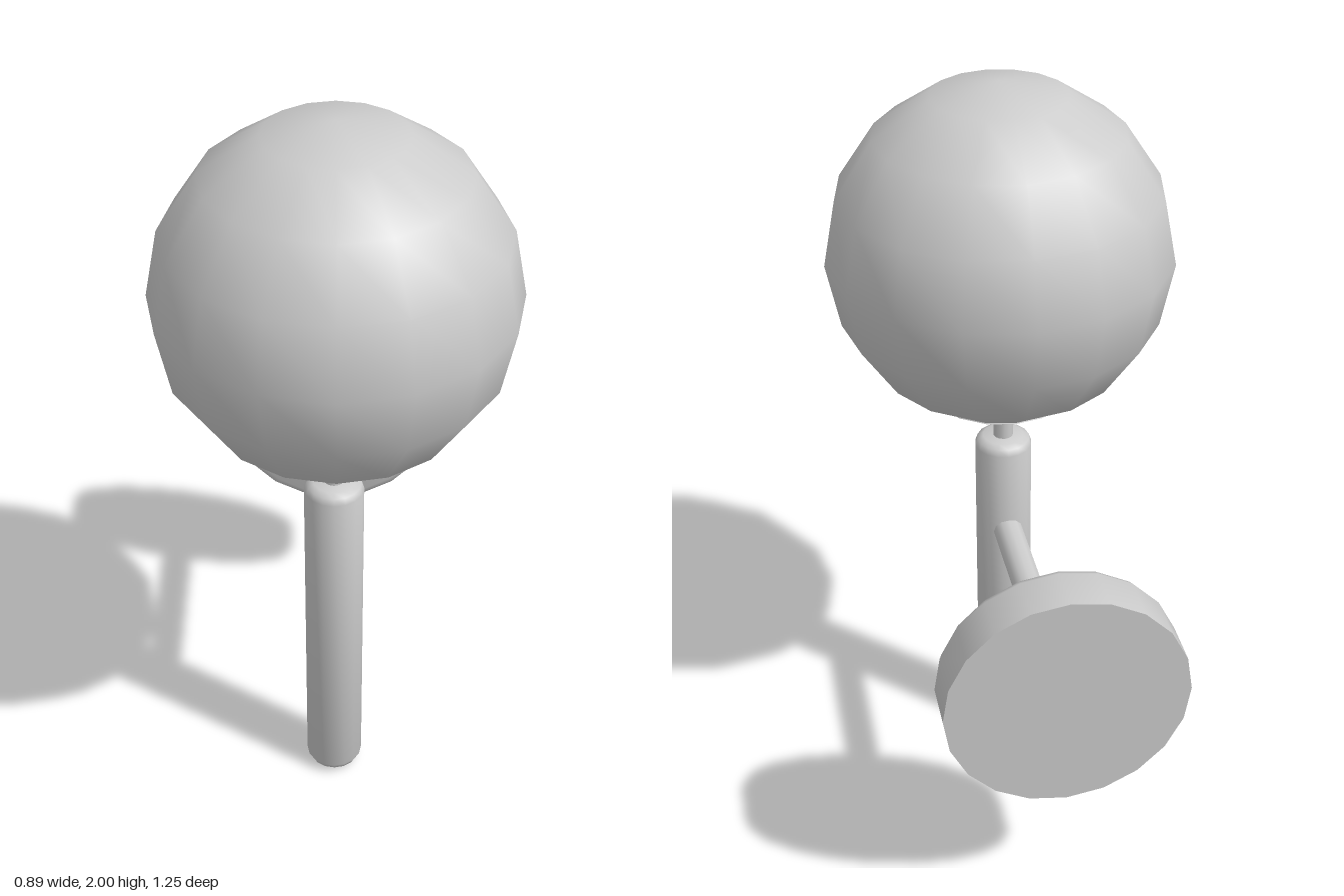
import * as THREE from 'three';
import { toCreasedNormals } from 'three/addons/utils/BufferGeometryUtils.js';

const X = -0.005; // the metalwork sits a touch off the globe's axis
const Z = 0.175;

export function createModel() {
  const model = new THREE.Group();
  model.name = 'wallLamp';
  const grey = new THREE.MeshStandardMaterial({ color: 0xcccccc });
  grey.name = 'light grey';

  const add = (name, geometry, x, y, z) => {
    const mesh = new THREE.Mesh(geometry, grey);
    mesh.name = name;
    mesh.position.set(x, y, z);
    model.add(mesh);
    return mesh;
  };
  // Turned part from [radius, height] pairs, listed bottom to top
  const turned = (profile, sides) => toCreasedNormals(
    new THREE.LatheGeometry(profile.map(([r, y]) => new THREE.Vector2(r, y)), sides), 0.9);

  // Globe and the shallow dish below it
  add('globeShade', new THREE.SphereGeometry(0.445, 16, 8), 0, 1.555, Z);
  add('shadeHolder', turned([[0, 1.105], [0.04, 1.107], [0.17, 1.142], [0.192, 1.155], [0.188, 1.162], [0, 1.162]], 16), 0, 0, Z);

  // Thin stem between column and dish
  add('stem', new THREE.CylinderGeometry(0.027, 0.027, 0.14, 12), X, 1.06, Z - 0.002);

  // Column with softened ends
  add('column', turned([[0, 0], [0.045, 0.005], [0.068, 0.017], [0.077, 0.035],
    [0.077, 0.98], [0.071, 0.998], [0.055, 1.007], [0, 1.008]], 16), X, 0, Z - 0.002);

  // Arm running back to the wall
  add('arm', new THREE.CylinderGeometry(0.04, 0.04, 0.61, 12), X, 0.732, -0.195).rotation.x = Math.PI / 2;

  // Wall plate: flat back, rounded front rim
  add('wallPlate', turned([[0, 0], [0.308, 0], [0.308, 0.12], [0.301, 0.137], [0.283, 0.145], [0, 0.145]], 20),
    X, 0.73, -0.625).rotation.x = Math.PI / 2;

  return model;
}
